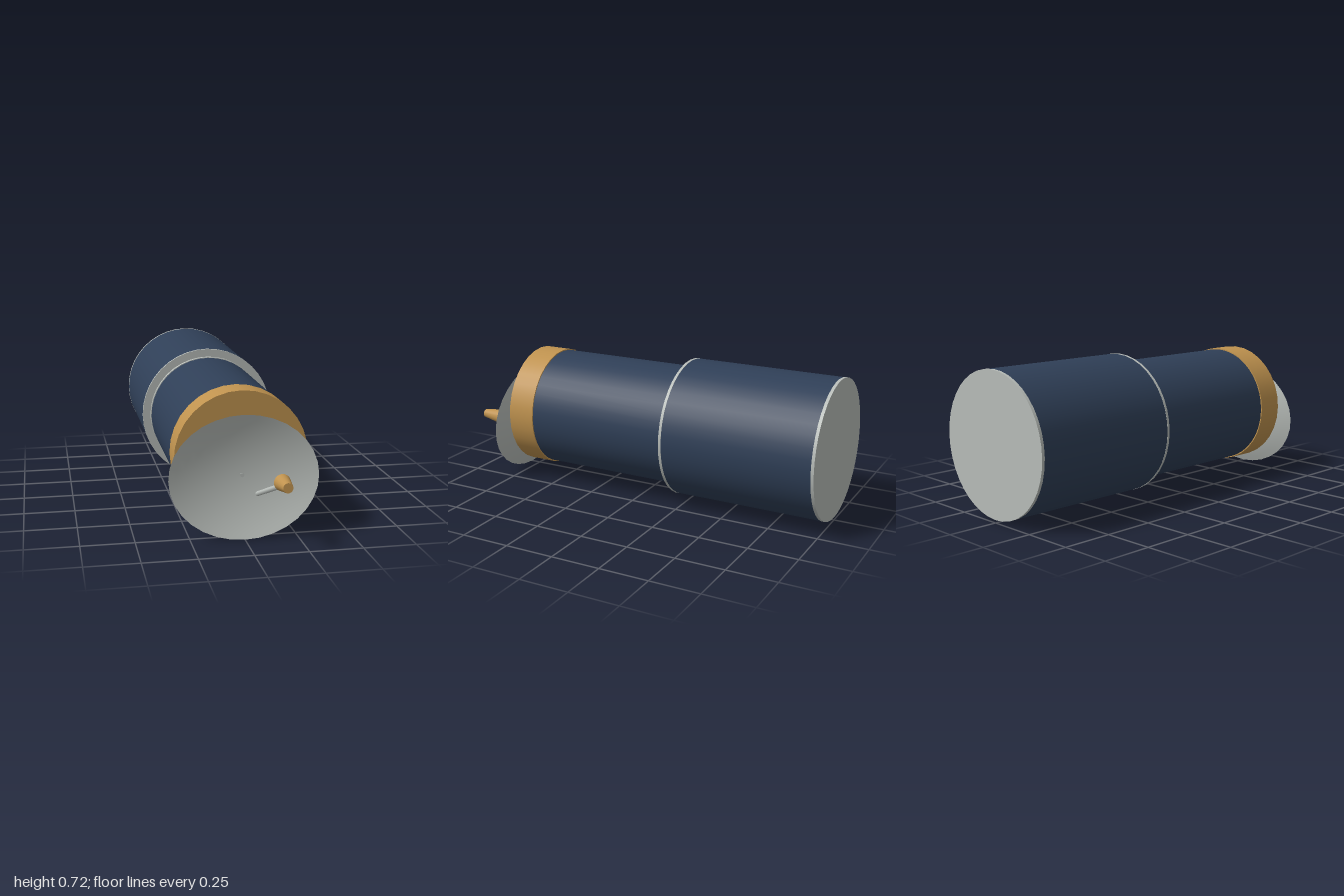
import * as THREE from 'three';

const paint = (name, color) => {
  const m = new THREE.MeshStandardMaterial({ color });
  m.name = name;
  return m;
};

export function createModel() {
  const model = new THREE.Group();
  model.name = 'satellite';
  const grey = paint('light grey', 0xb8bdb9);
  const greyOpen = grey;
  greyOpen.side = THREE.DoubleSide;
  const gold = paint('gold foil', 0xc0934f);
  const navy = paint('navy panels', 0x2f3f57);
  const axisY = 0.369;

  const add = (name, geometry, material) => {
    const mesh = new THREE.Mesh(geometry, material);
    mesh.name = name;
    model.add(mesh);
    return mesh;
  };

  // Drum along z between two depths
  const drum = (name, r, z0, z1, material, sides = 40) => {
    const g = new THREE.CylinderGeometry(r, r, z1 - z0, sides).rotateX(Math.PI / 2);
    add(name, g, material).position.set(0, axisY, (z0 + z1) / 2);
  };

  // Tapered rod between two points
  const rod = (name, a, b, r0, r1, material, sides) => {
    const from = new THREE.Vector3(...a), to = new THREE.Vector3(...b);
    const dir = to.clone().sub(from);
    const mesh = add(name, new THREE.CylinderGeometry(r1, r0, dir.length(), sides), material);
    mesh.position.copy(from).add(to).multiplyScalar(0.5);
    mesh.quaternion.setFromUnitVectors(new THREE.Vector3(0, 1, 0), dir.normalize());
  };

  // Body: wide rear drum, narrower front drum, foil section and rings
  drum('rearEndPlate', 0.353, -1, -0.985, grey);
  drum('rearSolarDrum', 0.352, -0.985, -0.217, navy);
  drum('rearDrumRing', 0.353, -0.217, -0.203, grey);
  drum('frontDrumCollar', 0.312, -0.203, -0.183, grey);
  drum('frontSolarDrum', 0.308, -0.183, 0.567, navy);
  drum('foilSection', 0.314, 0.567, 0.71, gold, 32);

  // Shallow oval dish, tipped slightly upward
  const profile = [];
  for (let i = 0; i <= 10; i++) {
    const t = i / 10;
    profile.push(new THREE.Vector2(0.35 * t, 0.055 * t * t));
  }
  const dish = new THREE.LatheGeometry(profile, 32)
    .rotateX(Math.PI / 2).scale(1, 0.829, 1).rotateX(-0.07);
  add('antennaDish', dish, greyOpen).position.set(0, 0.288, 0.727);

  // Dish mount, feed arm and feed horn
  rod('dishMount', [0, 0.289, 0.7], [0, 0.289, 0.729], 0.01, 0.01, grey, 8);
  rod('feedArm', [0.055, 0.18, 0.7], [0.143, 0.288, 0.91], 0.012, 0.012, grey, 8);
  rod('feedHorn', [0.147, 0.296, 0.893], [0.147, 0.302, 0.999], 0.039, 0.023, gold, 20);

  return model;
}
